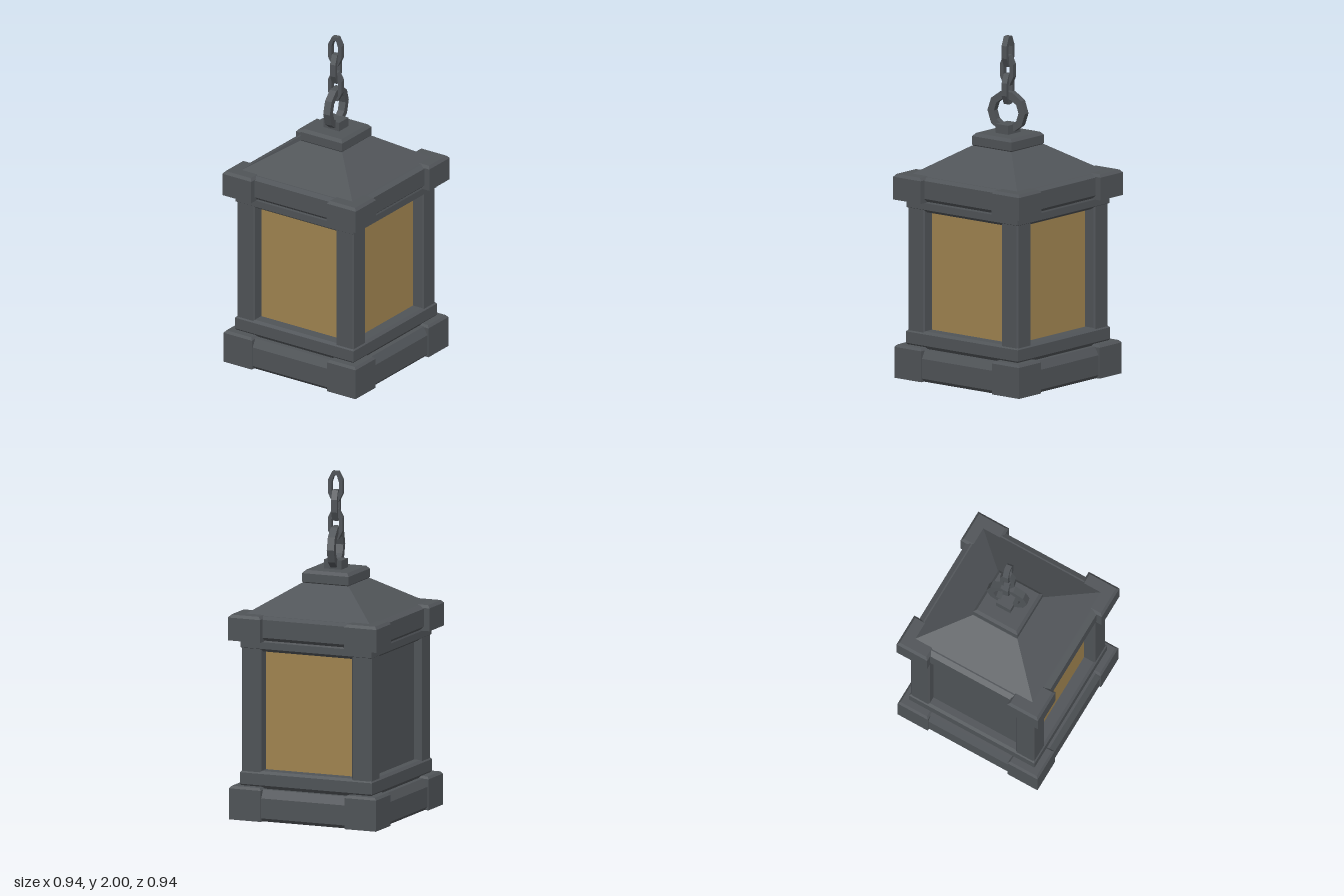
import * as THREE from 'three';

const iron = new THREE.MeshStandardMaterial({ color: 0x505458 });
iron.name = 'darkIron';
const amber = new THREE.MeshStandardMaterial({ color: 0xa08450 });
amber.name = 'amberGlass';

// Stack of rectangular sections [halfX, halfZ, y], bottom to top, closed at both ends
function stack(sections) {
  const pos = [];
  const ring = ([hx, hz, y]) => [[-hx, y, hz], [hx, y, hz], [hx, y, -hz], [-hx, y, -hz]];
  const quad = (a, b, c, d) => pos.push(...a, ...b, ...c, ...a, ...c, ...d);
  const rings = sections.map(ring);
  for (let i = 0; i < rings.length - 1; i++) {
    for (let k = 0; k < 4; k++) {
      const n = (k + 1) % 4;
      quad(rings[i][k], rings[i][n], rings[i + 1][n], rings[i + 1][k]);
    }
  }
  const lo = rings[0], hi = rings[rings.length - 1];
  quad(lo[3], lo[2], lo[1], lo[0]);
  quad(hi[0], hi[1], hi[2], hi[3]);
  const g = new THREE.BufferGeometry();
  g.setAttribute('position', new THREE.Float32BufferAttribute(pos, 3));
  g.computeVertexNormals();
  return g;
}

const square = (rows) => stack(rows.map(([h, y]) => [h, h, y]));

// Flat polygonal ring with an elliptical outline, extruded along z
function flatRing(rx, ry, band, depth, sides, turn = 0) {
  const points = (a, b) => Array.from({ length: sides }, (_, i) => {
    const t = (i / sides) * Math.PI * 2 + turn;
    return new THREE.Vector2(Math.cos(t) * a, Math.sin(t) * b);
  });
  const shape = new THREE.Shape(points(rx, ry));
  shape.holes.push(new THREE.Path(points(rx - band, ry - band)));
  const g = new THREE.ExtrudeGeometry(shape, { depth, bevelEnabled: false });
  return g.translate(0, 0, -depth / 2);
}

export function createModel() {
  const model = new THREE.Group();
  model.name = 'lantern';
  const add = (name, geometry, material = iron, parent = model) => {
    const mesh = new THREE.Mesh(geometry, material);
    mesh.name = name;
    parent.add(mesh);
    return mesh;
  };

  // Stepped body, bottom to top
  add('base', square([[0.44, 0], [0.457, 0.02], [0.457, 0.137], [0.43, 0.185]]));
  add('sill', square([[0.4, 0.183], [0.418, 0.205], [0.418, 0.272], [0.403, 0.287]]));
  add('neck', square([[0.385, 0.985], [0.415, 1.005], [0.415, 1.045], [0.41, 1.06]]));
  add('eave', square([[0.41, 1.053], [0.435, 1.075], [0.435, 1.18], [0.405, 1.196]]));
  add('roof', square([[0.398, 1.195], [0.148, 1.358]]));
  add('roofCap', square([[0.136, 1.352], [0.147, 1.364], [0.147, 1.414], [0.131, 1.432]]));

  // Corner pieces
  for (const sx of [-1, 1]) {
    for (const sz of [-1, 1]) {
      const baseBlock = add('baseCorner', square([[0.1, 0], [0.1, 0.182], [0.088, 0.196]]));
      baseBlock.position.set(sx * 0.365, 0, sz * 0.365);
      const eaveBlock = add('eaveCorner', square([[0.102, 1.05], [0.102, 1.184], [0.088, 1.2]]));
      eaveBlock.position.set(sx * 0.368, 0, sz * 0.368);

      // Post with bevelled vertical edges
      const h = 0.062, b = 0.054;
      const outline = [[-h, -b], [-b, -h], [b, -h], [h, -b], [h, b], [b, h], [-b, h], [-h, b]];
      const shape = new THREE.Shape(outline.map(([x, y]) => new THREE.Vector2(x, y)));
      const geo = new THREE.ExtrudeGeometry(shape, { depth: 0.725, bevelEnabled: false });
      geo.rotateX(-Math.PI / 2);
      const post = add('post', geo);
      post.position.set(sx * 0.349, 0.28, sz * 0.349);
    }
  }

  // Glass on the front and both sides, solid plate at the back
  for (let i = 0; i < 4; i++) {
    const back = i === 2;
    const pivot = new THREE.Group();
    pivot.name = back ? 'backSide' : 'glassSide';
    pivot.rotation.y = (i * Math.PI) / 2;
    const panel = add(back ? 'backPanel' : 'glassPanel',
      new THREE.BoxGeometry(0.64, 0.73, 0.008), back ? iron : amber, pivot);
    panel.position.set(0, 0.637, back ? 0.358 : 0.336);
    model.add(pivot);
  }

  // Hanging hardware, turned slightly about the vertical
  add('ringMount', stack([[0.047, 0.055, 1.425], [0.047, 0.055, 1.485]]));
  const hanger = new THREE.Group();
  hanger.name = 'hanger';
  hanger.rotation.y = 0.16;
  model.add(hanger);

  add('hangingRing', flatRing(0.125, 0.125, 0.043, 0.042, 10), iron, hanger).position.y = 1.555;

  for (let i = 0; i < 3; i++) {
    const link = add('chainLink', flatRing(0.048, 0.097, 0.025, 0.034, 8, Math.PI / 8), iron, hanger);
    link.position.y = 1.69 + i * 0.11;
    link.rotation.y = i % 2 === 0 ? Math.PI / 2 : 0;
  }

  return model;
}
